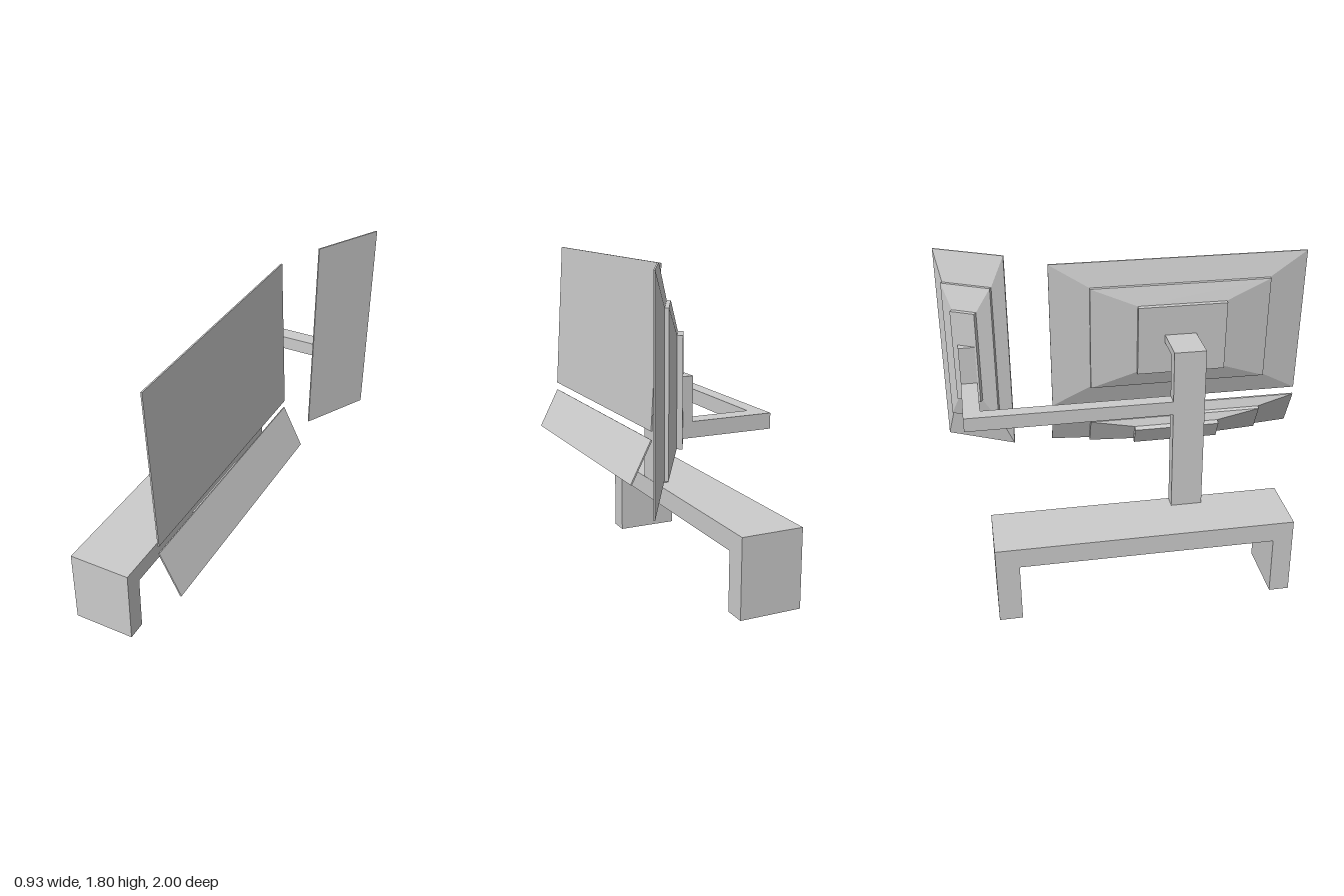
import * as THREE from 'three';

const material = new THREE.MeshStandardMaterial({ color: 0xcccccc, flatShading: true });

// Box given by its extents on each axis
function box(name, [x0, x1], [y0, y1], [z0, z1]) {
  const mesh = new THREE.Mesh(new THREE.BoxGeometry(x1 - x0, y1 - y0, z1 - z0), material);
  mesh.position.set((x0 + x1) / 2, (y0 + y1) / 2, (z0 + z1) / 2);
  mesh.name = name;
  return mesh;
}

// Stepped housing: [depth, width fraction, height fraction] from the back to the screen face
const SECTIONS = [
  [-0.127, 0.345, 0.466],
  [-0.1, 0.345, 0.466],
  [-0.066, 0.7, 0.7],
  [-0.047, 0.7, 0.7],
  [-0.008, 1, 1],
  [0, 1, 1],
];

// Screen facing +x, with its face centred on the origin
function screenGeometry(width, height) {
  const points = [];
  const index = [];
  for (const [x, w, h] of SECTIONS) {
    const z = (w * width) / 2;
    const y = (h * height) / 2;
    points.push(x, -y, z, x, -y, -z, x, y, -z, x, y, z);
  }
  const quad = (a, b, c, d) => index.push(a, b, c, a, c, d);
  for (let s = 0; s < SECTIONS.length - 1; s++) {
    for (let i = 0; i < 4; i++) {
      const a = s * 4 + i;
      const b = s * 4 + ((i + 1) % 4);
      quad(a, b, b + 4, a + 4);
    }
  }
  const last = (SECTIONS.length - 1) * 4;
  quad(3, 2, 1, 0); // back
  quad(last, last + 1, last + 2, last + 3); // face
  const indexed = new THREE.BufferGeometry();
  indexed.setAttribute('position', new THREE.Float32BufferAttribute(points, 3));
  indexed.setIndex(index);
  const geometry = indexed.toNonIndexed();
  geometry.computeVertexNormals();
  return geometry;
}

function screen(name, width, height, position, yaw, tilt) {
  const mesh = new THREE.Mesh(screenGeometry(width, height), material);
  mesh.name = name;
  mesh.position.set(...position);
  mesh.rotation.set(0, yaw, tilt);
  return mesh;
}

export function createModel() {
  const model = new THREE.Group();
  model.name = 'screenStand';

  // Bench-shaped base, extruded along x
  const profile = new THREE.Shape();
  [[-0.82, 0], [-0.71, 0], [-0.71, 0.335], [0.68, 0.335], [0.68, 0], [0.805, 0], [0.805, 0.447], [-0.82, 0.447]]
    .forEach(([u, v], i) => (i ? profile.lineTo(u, v) : profile.moveTo(u, v)));
  const base = new THREE.Mesh(
    new THREE.ExtrudeGeometry(profile, { depth: 0.357, bevelEnabled: false }), material);
  base.rotation.y = Math.PI / 2; // profile u runs towards -z
  base.position.x = -0.47;
  base.name = 'base';
  model.add(base);

  // Post and arms
  const postX = [-0.19, -0.115];
  const postZ = [0.195, 0.367];
  model.add(
    box('post', postX, [0.447, 1.38], postZ),
    box('upperArm', [-0.115, 0.07], [1.337, 1.38], postZ),
    box('sideArm', postX, [1.02, 1.097], [-0.91, 0.195]),
    box('sideArmEnd', [-0.115, 0.225], [1.02, 1.097], [-0.91, -0.82]),
    box('sideMount', [0.225, 0.275], [1.02, 1.31], [-0.91, -0.82]),
  );

  // Screens
  model.add(
    screen('mainScreen', 1.41, 0.846, [0.18, 1.357, 0.291], 0, 0.059),
    screen('lowerScreen', 1.41, 0.253, [0.262, 0.778, 0.291], 0, 0.473),
    screen('sideScreen', 0.413, 1.12, [0.369, 1.24, -0.815], -0.48, 0),
  );
  return model;
}
